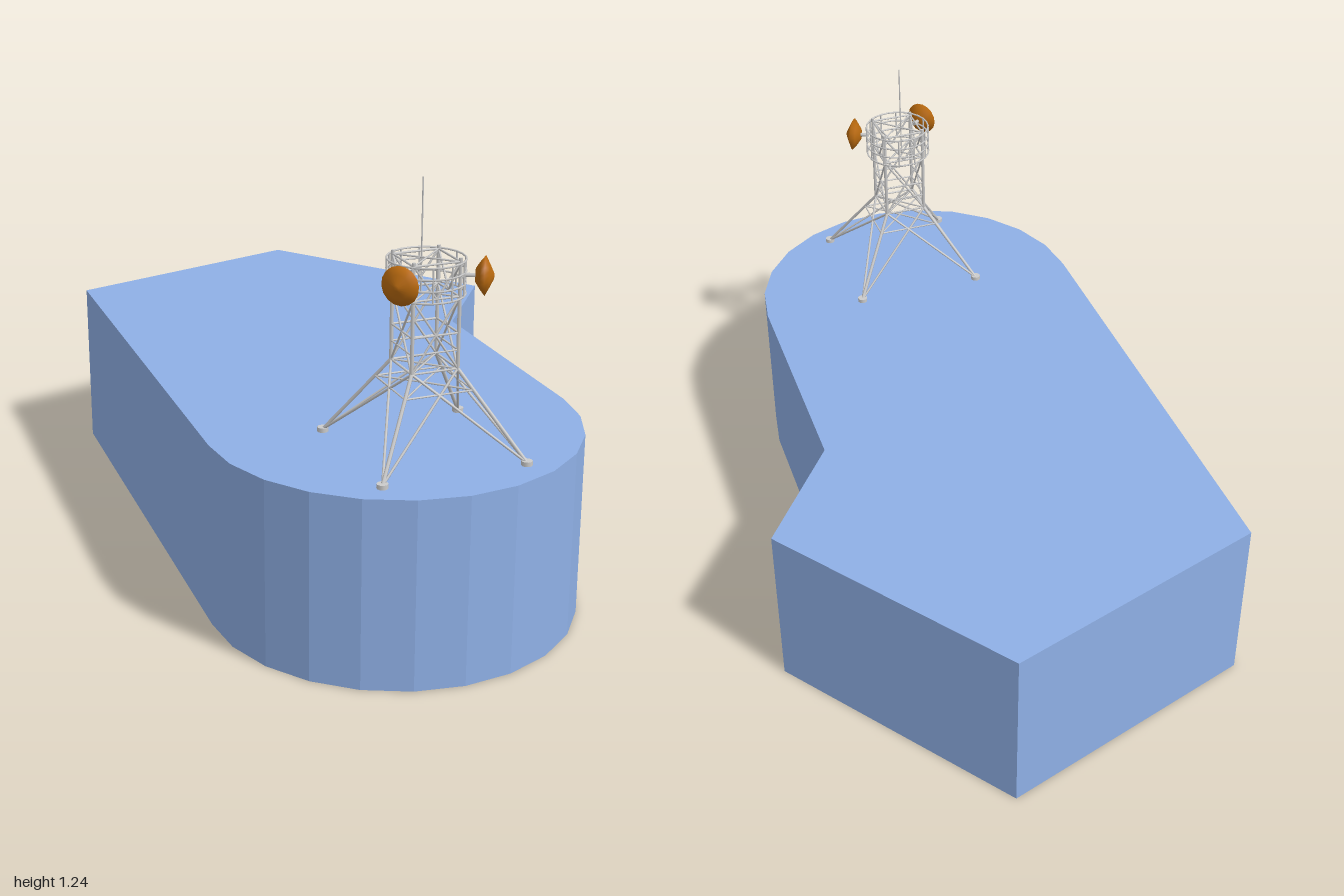
import * as THREE from 'three';
import { mergeGeometries } from 'three/addons/utils/BufferGeometryUtils.js';

const blue = new THREE.MeshStandardMaterial({ color: 0x8fb0e6 });
const grey = new THREE.MeshStandardMaterial({ color: 0xcccccc });
const orange = new THREE.MeshStandardMaterial({ color: 0xb8690f, side: THREE.DoubleSide });

const BASE_H = 0.52, WAIST = 0.75, TOP = 1.03, POST_R = 0.09, CAGE_R = 0.1;
const CX = 0.525, CZ = 0.635, TURN = 0.09;

// Round bar between two points
function rod(a, b, radius, sides = 6) {
  const dir = b.clone().sub(a);
  const g = new THREE.CylinderGeometry(radius, radius, dir.length(), sides);
  g.applyQuaternion(new THREE.Quaternion().setFromUnitVectors(new THREE.Vector3(0, 1, 0), dir.normalize()));
  return g.translate((a.x + b.x) / 2, (a.y + b.y) / 2, (a.z + b.z) / 2);
}

// Point on a circle round the tower axis, q in quarter turns
const polar = (r, q, y) => new THREE.Vector3(r * Math.cos(q * Math.PI / 2), y, r * Math.sin(q * Math.PI / 2));
const mid = (a, b, t = 0.5) => a.clone().lerp(b, t);

function addMerged(parent, name, geometries, material = grey) {
  const mesh = new THREE.Mesh(mergeGeometries(geometries), material);
  mesh.name = name;
  parent.add(mesh);
}

// Building block: straight walls and one faceted half-round end
function makeBase() {
  const outline = [[-0.915, -0.315], [-0.48, -1], [0.31, -0.8], [0.335, -0.4]];
  for (let i = 0; i <= 12; i++) {
    const a = THREE.MathUtils.degToRad(-38.5 + i * 15);
    outline.push([0.4 + 0.513 * Math.cos(a), 0.485 + 0.513 * Math.sin(a)]);
  }
  const shape = new THREE.Shape(outline.map(([x, z]) => new THREE.Vector2(x, -z)));
  const g = new THREE.ExtrudeGeometry(shape, { depth: BASE_H, bevelEnabled: false });
  const mesh = new THREE.Mesh(g.rotateX(-Math.PI / 2), blue);
  mesh.name = 'building';
  return mesh;
}

// Dish opening along +y: shallow bowl, hub at the back, feed cone at the front
function makeDish(name, q, y) {
  const dish = new THREE.Group();
  dish.name = name;
  const profile = [[0, -0.024], [0.018, -0.024], [0.036, -0.012], [0.051, 0], [0.03, 0.011], [0.007, 0.022], [0, 0.022]];
  const bowl = new THREE.Mesh(
    new THREE.LatheGeometry(profile.map(([r, h]) => new THREE.Vector2(r, h)), 16), orange);
  bowl.name = name + 'Reflector';
  dish.add(bowl);
  const arm = new THREE.Mesh(rod(new THREE.Vector3(0, -0.05, 0), new THREE.Vector3(0, -0.02, 0), 0.006), grey);
  arm.name = name + 'Mount';
  dish.add(arm);
  dish.position.copy(polar(0.147, q, y));
  dish.quaternion.setFromUnitVectors(new THREE.Vector3(0, 1, 0), polar(1, q, 0));
  return dish;
}

export function createModel() {
  const model = new THREE.Group();
  model.name = 'buildingWithRadioTower';
  model.add(makeBase());

  const tower = new THREE.Group();
  tower.name = 'tower';
  tower.position.set(CX, 0, CZ);
  tower.rotation.y = -TURN + 0.01;

  const feet = [], legs = [], legBraces = [], posts = [], lattice = [], cage = [];
  for (let q = 0; q < 4; q++) {
    const foot = polar(0.28, q, BASE_H + 0.006);
    const waist = polar(POST_R, q, WAIST);
    const next = polar(POST_R, q + 1, WAIST);
    const prev = polar(POST_R, q - 1, WAIST);

    // Splayed legs with foot pads
    feet.push(new THREE.CylinderGeometry(0.015, 0.015, 0.012, 10).translate(foot.x, BASE_H + 0.006, foot.z));
    legs.push(rod(foot, waist, 0.005));
    legBraces.push(rod(foot, next, 0.0035), rod(foot, prev, 0.0035));
    const knee = mid(foot, waist, 0.77);
    const sideA = mid(foot, next, 0.77), sideB = mid(foot, prev, 0.77);
    legBraces.push(rod(knee, sideA, 0.0025), rod(knee, sideB, 0.0025));
    legBraces.push(rod(sideA, mid(polar(0.28, q + 1, BASE_H), waist, 0.77), 0.0025));
    legBraces.push(rod(knee, new THREE.Vector3(0, 0.7, 0), 0.0025));

    // Upright posts
    posts.push(rod(waist, polar(POST_R, q, TOP + 0.01), 0.005));

    // Horizontal frames and V bracing on each face
    for (const y of [0.75, 0.845, 0.94, TOP]) {
      lattice.push(rod(polar(POST_R, q, y), polar(POST_R, q + 1, y), 0.003));
    }
    for (const [apex, ends] of [[0.845, 0.75], [0.845, 0.94], [0.94, TOP]]) {
      const a = polar(POST_R, q, ends), b = polar(POST_R, q + 1, ends);
      const tip = mid(polar(POST_R, q, apex), polar(POST_R, q + 1, apex));
      lattice.push(rod(a, tip, 0.003), rod(b, tip, 0.003));
    }
    lattice.push(rod(polar(POST_R, q, 0.8), polar(POST_R, q + 1, 0.8), 0.0025));
    for (const y of [WAIST, 0.94, TOP]) {
      lattice.push(rod(polar(POST_R, q, y), new THREE.Vector3(0, y, 0), 0.0025));
    }
  }

  // Round cage at the head
  for (const y of [0.94, 0.97, 1.0, TOP]) {
    cage.push(new THREE.TorusGeometry(CAGE_R, 0.0028, 5, 24).rotateX(Math.PI / 2).translate(0, y, 0));
  }
  for (let i = 0; i < 12; i++) {
    cage.push(rod(polar(CAGE_R, i / 3, 0.94), polar(CAGE_R, i / 3, TOP), 0.0025));
  }

  addMerged(tower, 'feet', feet);
  addMerged(tower, 'legs', legs);
  addMerged(tower, 'legBraces', legBraces);
  addMerged(tower, 'posts', posts);
  addMerged(tower, 'lattice', lattice);
  addMerged(tower, 'cage', cage);
  addMerged(tower, 'antenna', [rod(new THREE.Vector3(-0.013, 0.94, 0), new THREE.Vector3(-0.013, 1.235, 0), 0.002)]);

  // Dishes on the front and left sides
  tower.add(makeDish('frontDish', 1.06, 0.995), makeDish('sideDish', -0.17, 0.99));
  model.add(tower);
  return model;
}
